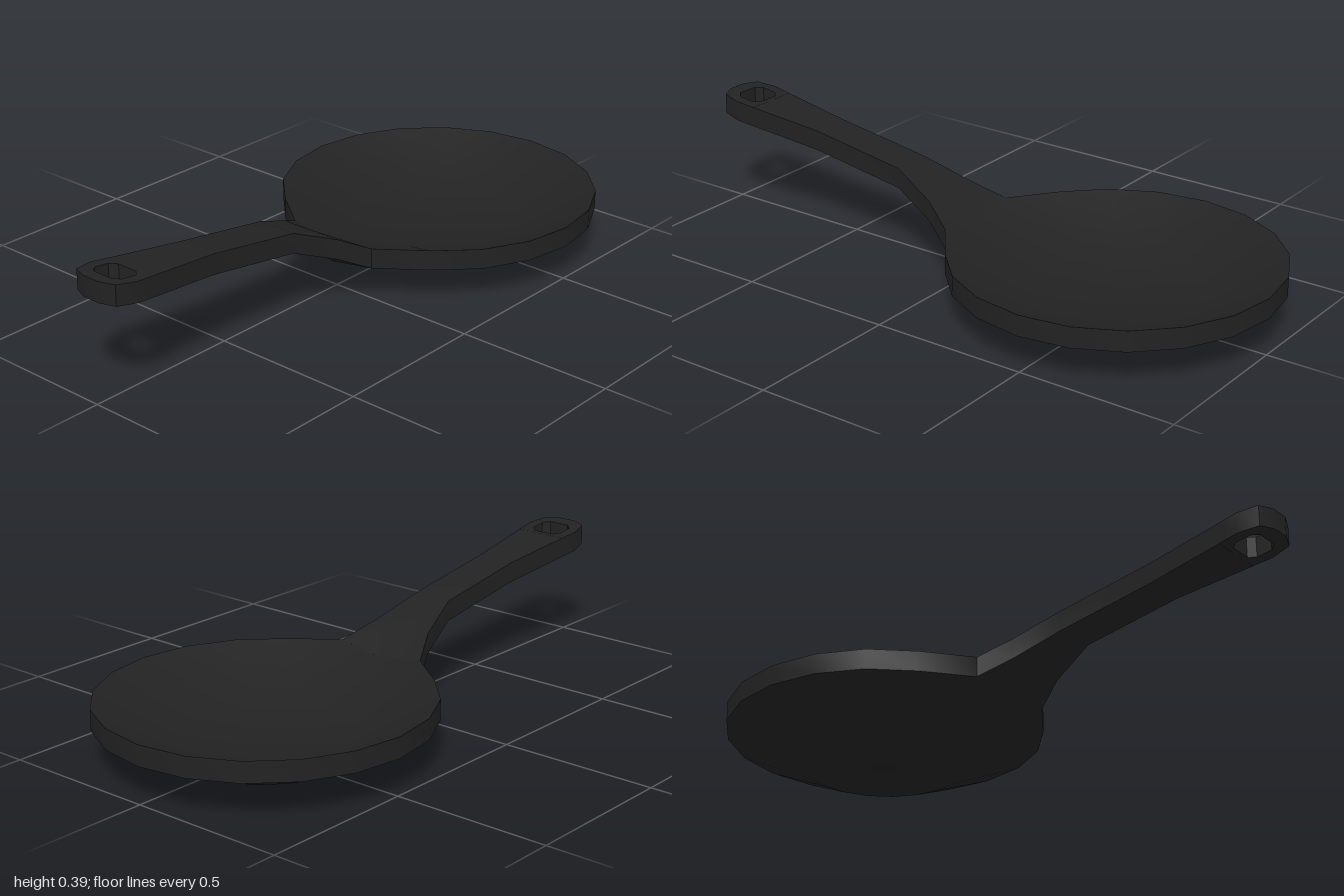
import * as THREE from 'three';
import { toCreasedNormals } from 'three/addons/utils/BufferGeometryUtils.js';

const THICK = 0.065;
const CREASE = 0.7;

// Shallow 20-sided dish; its rim is pulled out and dips where the handle joins
function bowlGeometry() {
  const profile = [[0, 0.003], [0.26, 0.008], [0.505, 0.115]];
  const inner = profile.map(([r, y]) => [r, y + THICK]).reverse();
  const points = [...profile, ...inner].map(([r, y]) => new THREE.Vector2(r, y));
  const geo = new THREE.LatheGeometry(points, 20);
  const p = geo.attributes.position;
  for (let i = 0; i < p.count; i++) {
    if (p.getX(i) > -0.47) continue;
    p.setX(i, -0.515);
    if (Math.abs(p.getZ(i)) < 0.01) p.setY(i, p.getY(i) - 0.025);
  }
  geo.translate(0.495, 0, 0);
  return toCreasedNormals(geo, CREASE);
}

// Handle swept through cross-sections: x, top height, half width, dip of the middle
function handleGeometry() {
  const sections = [
    [-0.02, 0.18, 0.156, 0.025],
    [-0.12, 0.23, 0.105, 0],
    [-0.27, 0.29, 0.066, 0],
    [-0.6, 0.34, 0.065, 0],
    [-0.85, 0.371, 0.087, 0],
  ];
  const pos = [], index = [];
  sections.forEach(([x, y, w, dip], i) => {
    const b = y - THICK;
    pos.push(x, y, -w, x, y - dip, 0, x, y, w, x, b, w, x, b - dip, 0, x, b, -w);
    if (i === 0) return;
    for (let k = 0; k < 6; k++) {
      const a0 = (i - 1) * 6 + k, a1 = (i - 1) * 6 + (k + 1) % 6;
      index.push(a0, a0 + 6, a1, a1, a0 + 6, a1 + 6);
    }
  });
  const geo = new THREE.BufferGeometry();
  geo.setAttribute('position', new THREE.Float32BufferAttribute(pos, 3));
  geo.setIndex(index);
  return toCreasedNormals(geo, CREASE);
}

// Closed outline mirrored across the handle's middle line
function mirrored(half) {
  const other = half.map(([x, z]) => [x, -z]).reverse();
  return [...half, ...other].map(([x, z]) => new THREE.Vector2(x, z));
}

// Rounded handle end with a hanging hole, sheared to follow the handle's slope
function handleEndGeometry() {
  const shape = new THREE.Shape(mirrored([[-0.85, 0.087], [-0.915, 0.093], [-0.98, 0.077], [-1, 0.03]]));
  shape.holes.push(new THREE.Path(mirrored([[-0.865, 0.035], [-0.885, 0.055], [-0.935, 0.055], [-0.955, 0.035]])));
  const geo = new THREE.ExtrudeGeometry(shape, { depth: THICK, bevelEnabled: false });
  geo.rotateX(-Math.PI / 2);
  const p = geo.attributes.position;
  for (let i = 0; i < p.count; i++) p.setY(i, p.getY(i) + 0.2 - 0.125 * p.getX(i));
  return toCreasedNormals(geo, CREASE);
}

export function createModel() {
  const group = new THREE.Group();
  group.name = 'pan';
  const material = new THREE.MeshStandardMaterial({ color: 0x222222 });
  const parts = { bowl: bowlGeometry(), handle: handleGeometry(), handleEnd: handleEndGeometry() };
  for (const [name, geometry] of Object.entries(parts)) {
    const mesh = new THREE.Mesh(geometry, material);
    mesh.name = name;
    group.add(mesh);
  }
  return group;
}
